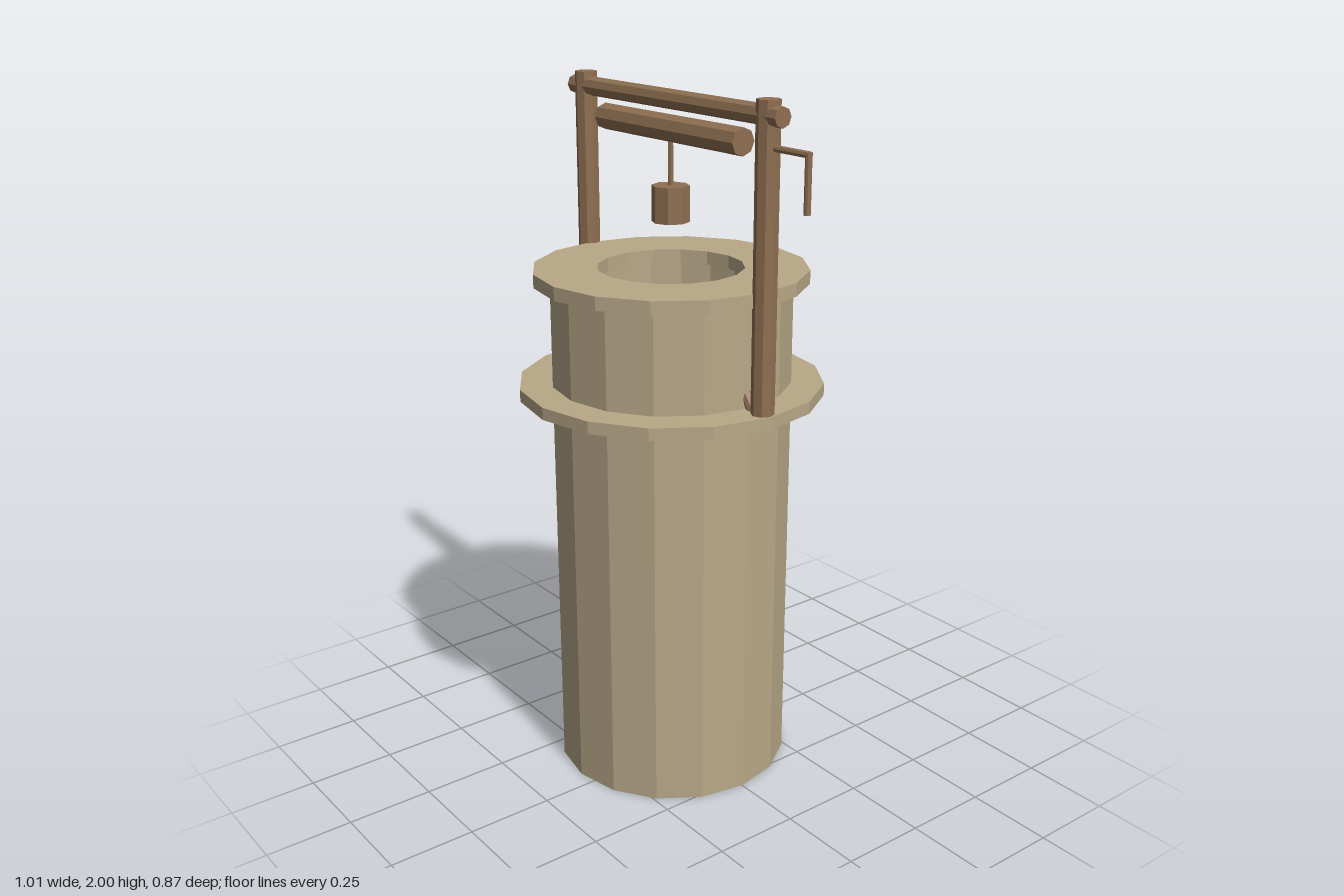
import * as THREE from 'three';

const mat = (name, color) => new THREE.MeshStandardMaterial({ name, color, flatShading: true });

export function createModel() {
  const stone = mat('stone', 0xb8a888);
  const wood = mat('wood', 0x8f7052);
  const water = mat('water', 0x2c424b);
  water.side = THREE.DoubleSide;

  const model = new THREE.Group();
  model.name = 'well';
  const CX = -0.055; // axis of the shaft

  const add = (name, geometry, material, x, y, parent = model) => {
    const mesh = new THREE.Mesh(geometry, material);
    mesh.name = name;
    mesh.position.set(x, y, 0);
    parent.add(mesh);
    return mesh;
  };

  // Sixteen-sided hollow ring with a rectangular section
  const ring = (name, inner, outer, y0, y1) => {
    const profile = [[inner, y0], [outer, y0], [outer, y1], [inner, y1], [inner, y0]]
      .map(([r, y]) => new THREE.Vector2(r, y));
    return add(name, new THREE.LatheGeometry(profile, 16), stone, CX, 0);
  };

  // Round pole between two points in the z = 0 plane
  const pole = (name, r, x0, y0, x1, y1, sides = 8) => {
    const dx = x1 - x0, dy = y1 - y0;
    const mesh = add(name, new THREE.CylinderGeometry(r, r, Math.hypot(dx, dy), sides),
      wood, (x0 + x1) / 2, (y0 + y1) / 2);
    mesh.rotation.z = Math.atan2(-dx, dy);
    return mesh;
  };

  // Stone shaft, ledge and rim
  ring('shaft', 0.23, 0.342, 0, 1.467);
  ring('ledge', 0.3, 0.435, 1.145, 1.18);
  ring('rim', 0.207, 0.387, 1.467, 1.505);

  // Water surface inside the shaft
  add('water', new THREE.CircleGeometry(0.232, 16).rotateX(-Math.PI / 2), water, CX, 0.235);

  // Posts and the diagonal braces running through the wall
  for (const s of [-1, 1]) {
    const side = s > 0 ? 'left' : 'right';
    pole(side + 'Post', 0.032, CX + s * 0.4, 1.17, CX + s * 0.4, 2);
    pole(side + 'Brace', 0.016, CX + s * 0.385, 1.147, CX + s * 0.2, 1.39);
  }

  // Crossbar and winding roller
  pole('crossbar', 0.027, -0.51, 1.96, 0.4, 1.96);
  pole('roller', 0.037, -0.36, 1.883, 0.25, 1.883);

  // Rope and bucket
  pole('rope', 0.008, CX, 1.72, CX, 1.86, 6);
  pole('bucket', 0.053, CX, 1.63, CX, 1.73);

  // Crank handle
  pole('crankArm', 0.009, 0.345, 1.882, 0.502, 1.882);
  pole('crankGrip', 0.009, 0.496, 1.735, 0.496, 1.888);

  return model;
}
